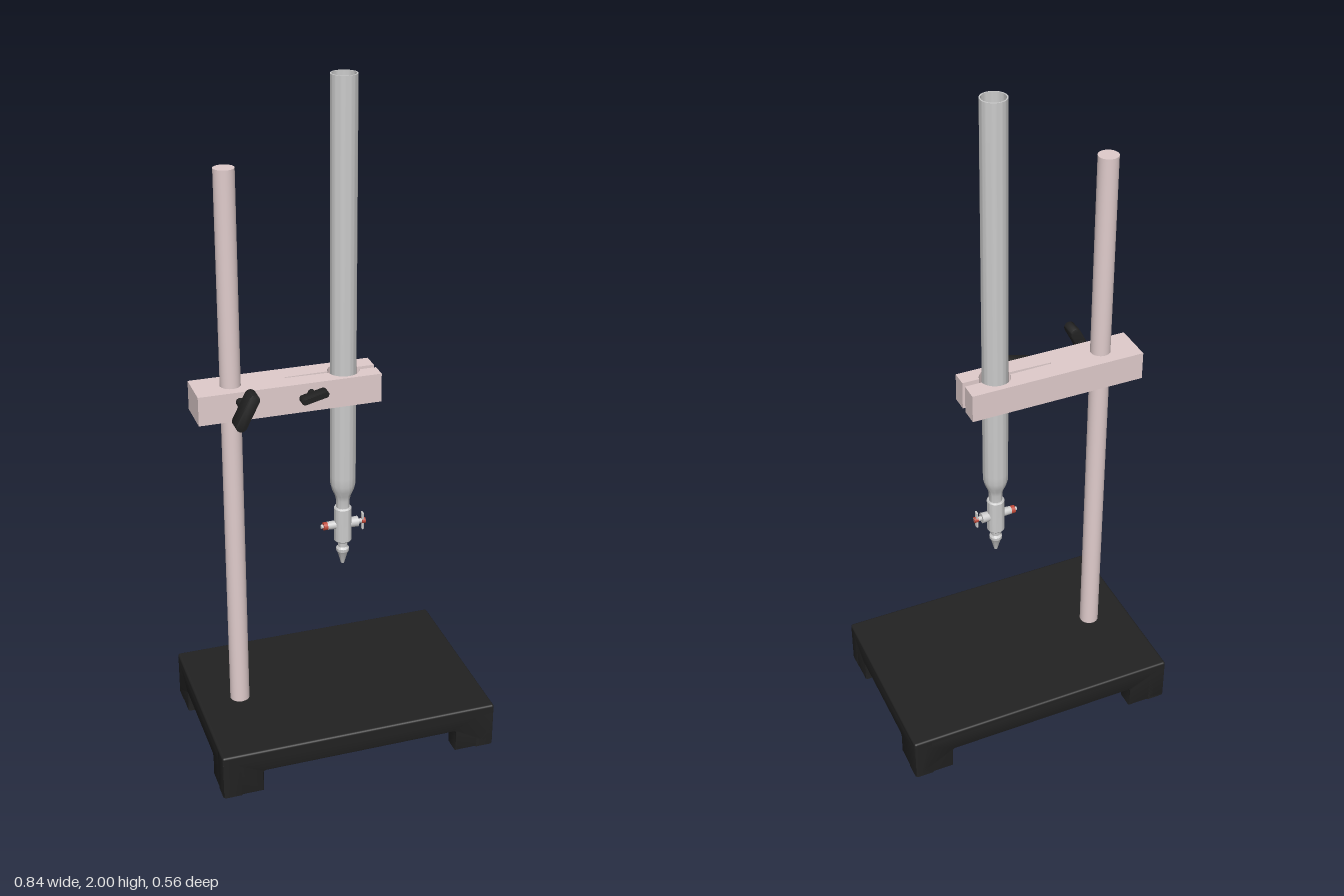
import * as THREE from 'three';
import { toCreasedNormals } from 'three/addons/utils/BufferGeometryUtils.js';
import { RoundedBoxGeometry } from 'three/addons/geometries/RoundedBoxGeometry.js';

const mat = (color) => new THREE.MeshStandardMaterial({ color });
const black = mat(0x222222), pink = mat(0xe0cccc), grey = mat(0xcccccc), red = mat(0xc04a3a);

const TUBE_X = 0.033, ROD_X = -0.293, VALVE_Y = 0.68;

function add(parent, name, geometry, material, x = 0, y = 0, z = 0) {
  const mesh = new THREE.Mesh(geometry, material);
  mesh.name = name;
  mesh.position.set(x, y, z);
  parent.add(mesh);
  return mesh;
}

const lathe = (pts, segments = 40) =>
  toCreasedNormals(new THREE.LatheGeometry(pts.map(([r, y]) => new THREE.Vector2(r, y)), segments), 0.6);

// Wall with an arched cutout that leaves a foot at each end
function wallGeometry(length, foot, thick) {
  const h = length / 2, n = h - foot, top = 0.07, f = 0.015, b = 0.006;
  const s = new THREE.Shape();
  s.moveTo(-h + b, b);
  s.lineTo(-n - b, b);
  s.lineTo(-n - b, top + b - f);
  s.quadraticCurveTo(-n - b, top + b, -n - b + f, top + b);
  s.lineTo(n + b - f, top + b);
  s.quadraticCurveTo(n + b, top + b, n + b, top + b - f);
  s.lineTo(n + b, b);
  s.lineTo(h - b, b);
  s.lineTo(h - b, 0.125);
  s.lineTo(-h + b, 0.125);
  s.closePath();
  const g = new THREE.ExtrudeGeometry(s, {
    depth: thick - 2 * b, bevelSize: b, bevelThickness: b, bevelSegments: 2, curveSegments: 6,
  });
  return toCreasedNormals(g.translate(0, 0, -thick / 2 + b), 0.6);
}

function buildBase() {
  const base = new THREE.Group();
  base.name = 'base';
  const W = 0.84, D = 0.565, T = 0.06;
  add(base, 'basePlate', new RoundedBoxGeometry(W, 0.035, D, 3, 0.007), black, 0, 0.1225, 0);
  for (const side of [1, -1]) {
    add(base, side > 0 ? 'frontWall' : 'backWall', wallGeometry(W, 0.122, T), black, 0, 0, side * (D - T) / 2);
    const w = add(base, side > 0 ? 'leftWall' : 'rightWall', wallGeometry(D, 0.12, T), black, side * (W - T) / 2);
    w.rotation.y = Math.PI / 2;
  }
  return base;
}

// Clamp block: rod hole, tube bore and a slit that opens at the free end
function clampGeometry() {
  const R = 0.045, wide = 0.009, thin = 0.005;
  const a = Math.asin(wide / R), b = Math.asin(thin / R);
  const s = new THREE.Shape();
  s.moveTo(-0.398, -0.057);
  s.lineTo(0.127, -0.057);
  s.lineTo(0.127, -wide);
  s.lineTo(TUBE_X + R * Math.cos(a), -wide);
  s.absarc(TUBE_X, 0, R, -a, -Math.PI + b, true);
  s.lineTo(-0.137, -0.002);
  s.lineTo(-0.137, 0.003);
  s.lineTo(TUBE_X - R * Math.cos(b), thin);
  s.absarc(TUBE_X, 0, R, Math.PI - b, a, true);
  s.lineTo(0.127, wide);
  s.lineTo(0.127, 0.062);
  s.lineTo(-0.398, 0.062);
  s.closePath();
  const hole = new THREE.Path();
  hole.absarc(ROD_X, 0, 0.0295, 0, Math.PI * 2, true);
  s.holes.push(hole);
  const g = new THREE.ExtrudeGeometry(s, { depth: 0.085, bevelEnabled: false, curveSegments: 32 });
  return toCreasedNormals(g.rotateX(-Math.PI / 2), 0.5);
}

// Wing screw: a shaft along z with a round-ended flat grip
function wingScrew(name, length, width, z0, z1, tilt, shaftR) {
  const g = new THREE.Group();
  g.name = name;
  const shaft = add(g, 'screwShaft', new THREE.CylinderGeometry(shaftR, shaftR, z0 - 0.03, 20), black, 0, 0, (z0 + 0.04) / 2);
  shaft.rotation.x = Math.PI / 2;
  const r = width / 2 - 0.003, h = length / 2 - width / 2;
  const s = new THREE.Shape();
  s.absarc(h, 0, r, -Math.PI / 2, Math.PI / 2, false);
  s.absarc(-h, 0, r, Math.PI / 2, Math.PI * 1.5, false);
  s.closePath();
  const grip = new THREE.ExtrudeGeometry(s, {
    depth: z1 - z0 - 0.006, bevelSize: 0.003, bevelThickness: 0.003, bevelSegments: 2, curveSegments: 10,
  });
  add(g, 'screwGrip', toCreasedNormals(grip, 0.7), black, 0, 0, z0 + 0.003).rotation.z = tilt;
  return g;
}

function buildBurette() {
  const g = new THREE.Group();
  g.name = 'burette';
  g.position.x = TUBE_X;
  // Hollow tube: outer wall up, over the rim, inner wall down
  add(g, 'glassTube', lathe([
    [0.02, 0.73], [0.02, 0.762], [0.024, 0.778], [0.032, 0.796], [0.0365, 0.815], [0.037, 0.84],
    [0.037, 2], [0.033, 2], [0.033, 0.84], [0.031, 0.815], [0.025, 0.795], [0.014, 0.775], [0, 0.768],
  ]), grey);
  // Stopcock body
  add(g, 'stopcockBody', lathe([
    [0, 0.625], [0.023, 0.625], [0.026, 0.629], [0.026, 0.734], [0.023, 0.738], [0, 0.738],
  ]), grey);
  // Outlet tip
  add(g, 'outletTip', lathe([
    [0, 0.548], [0.005, 0.548], [0.015, 0.585], [0.019, 0.591], [0.019, 0.6], [0.014, 0.606], [0.015, 0.63],
  ], 28), grey);
  // Cross valve, turned so that its axis runs along x
  const valve = new THREE.Group();
  valve.name = 'valve';
  valve.position.y = VALVE_Y;
  g.add(valve);
  const alongX = (name, r0, r1, x0, x1, m) => {
    const c = add(valve, name, new THREE.CylinderGeometry(r1, r0, x1 - x0, 24), m, (x0 + x1) / 2);
    c.rotation.z = -Math.PI / 2;
  };
  alongX('valveBarrel', 0.012, 0.016, -0.048, 0.046, grey);
  alongX('valveNut', 0.012, 0.012, -0.06, -0.048, red);
  alongX('valveEnd', 0.006, 0.006, -0.067, -0.06, grey);
  alongX('valveStem', 0.007, 0.007, 0.046, 0.069, grey);
  alongX('valveHub', 0.009, 0.009, 0.058, 0.069, red);
  add(valve, 'valveHandle', new RoundedBoxGeometry(0.006, 0.056, 0.014, 2, 0.0025), grey, 0.061);
  return g;
}

export function createModel() {
  const model = new THREE.Group();
  model.name = 'buretteStand';
  model.add(buildBase());

  // Support rod
  add(model, 'supportRod', new THREE.CylinderGeometry(0.029, 0.029, 1.67, 40), pink, ROD_X, 0.945, 0);

  // Clamp with its two wing screws
  add(model, 'clamp', clampGeometry(), pink, 0, 1.085, 0);
  const rodScrew = wingScrew('rodScrew', 0.112, 0.032, 0.093, 0.142, 1.1, 0.012);
  rodScrew.position.set(-0.281, 1.142, 0);
  const tubeScrew = wingScrew('tubeScrew', 0.08, 0.02, 0.07, 0.102, 0.24, 0.01);
  tubeScrew.position.set(-0.079, 1.142, 0);
  model.add(rodScrew, tubeScrew);

  model.add(buildBurette());
  return model;
}
